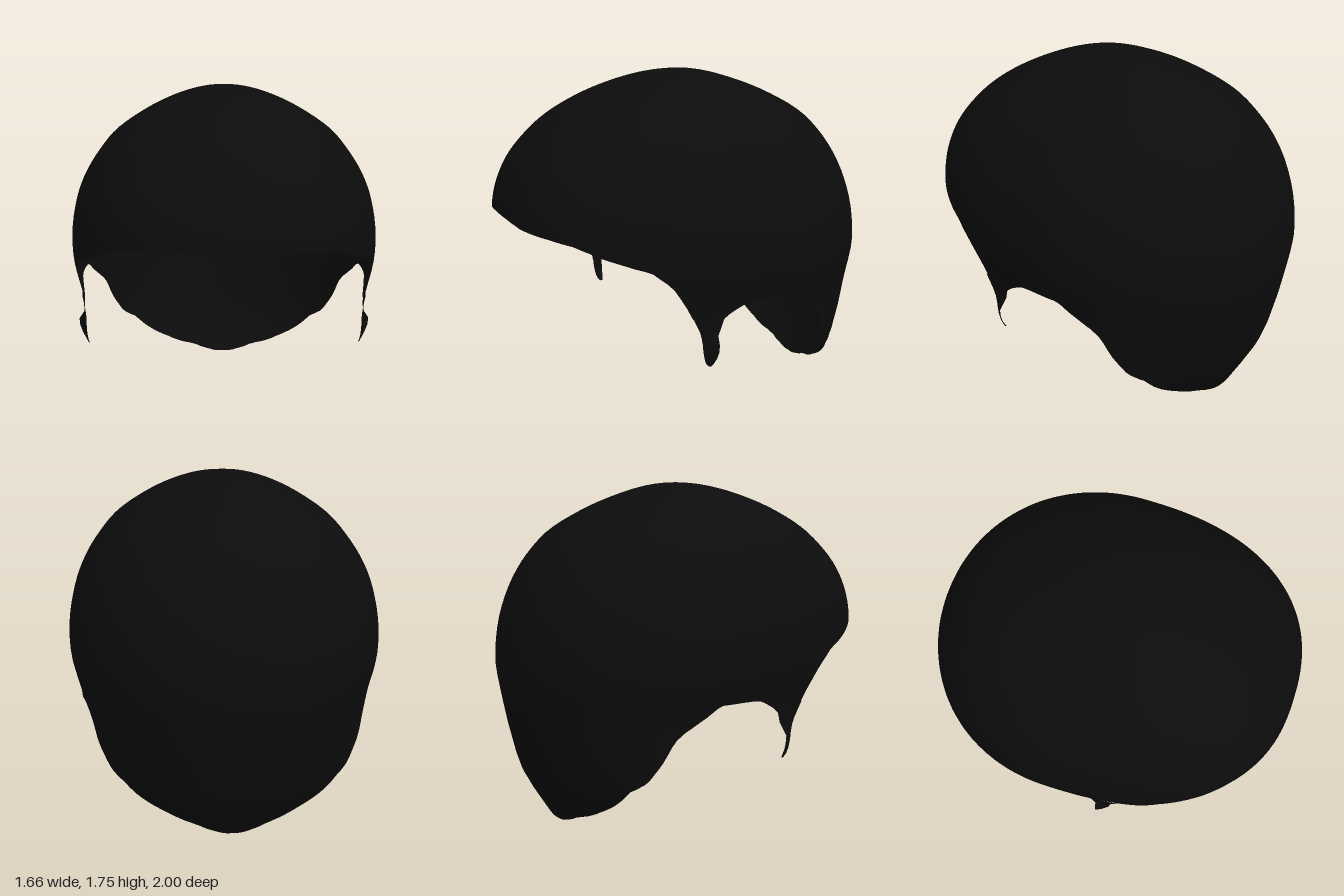
import * as THREE from 'three';

const TOP = 1.75;

// Smooth (Hermite) interpolation through points sorted by rising first value
function smooth(pts) {
  const slope = (i) => {
    const a = pts[Math.max(i - 1, 0)], b = pts[Math.min(i + 1, pts.length - 1)];
    return (b[1] - a[1]) / (b[0] - a[0]);
  };
  return (x) => {
    if (x <= pts[0][0]) return pts[0][1];
    let i = 0;
    while (i < pts.length - 1 && pts[i + 1][0] < x) i++;
    if (i === pts.length - 1) return pts[i][1];
    const h = pts[i + 1][0] - pts[i][0], t = (x - pts[i][0]) / h;
    const t2 = t * t, t3 = t2 * t;
    return (2 * t3 - 3 * t2 + 1) * pts[i][1] + (t3 - 2 * t2 + t) * h * slope(i)
      + (3 * t2 - 2 * t3) * pts[i + 1][1] + (t3 - t2) * h * slope(i + 1);
  };
}

// Linear interpolation, for the hairline
function linear(pts) {
  return (x) => {
    if (x <= pts[0][0]) return pts[0][1];
    for (let i = 1; i < pts.length; i++) {
      const [x0, y0] = pts[i - 1], [x1, y1] = pts[i];
      if (x <= x1) return y0 + (y1 - y0) * (x - x0) / (x1 - x0);
    }
    return pts[pts.length - 1][1];
  };
}

// Head profiles by height; the square root of depth keeps the crown round
const heights = [1.75, 1.7, 1.6, 1.5, 1.4, 1.3, 1.2, 1.1, 1, 0.9, 0.8, 0.6, 0.4, 0.2, 0];
const profile = (values) => smooth(values.map((v, i) => [Math.sqrt(TOP - heights[i]), v]));
const width = profile([0, 0.25, 0.45, 0.59, 0.675, 0.74, 0.785, 0.812, 0.828, 0.832, 0.822, 0.775, 0.77, 0.71, 0.45]);
const front = profile([0, 0.31, 0.56, 0.72, 0.83, 0.91, 0.96, 0.99, 1, 1, 1, 1, 1, 1, 1]);
const back = profile([0, 0.28, 0.53, 0.7, 0.8, 0.87, 0.92, 0.957, 0.982, 0.995, 1, 0.97, 0.92, 0.86, 0.755]);

// Height of the hairline along z, from nape to brow
const hairline = linear([
  [-1, 0], [-0.755, 0], [-0.745, 0.05], [-0.72, 0.08], [-0.69, 0.15], [-0.66, 0.26], [-0.6, 0.31],
  [-0.55, 0.41], [-0.5, 0.52], [-0.46, 0.56], [-0.35, 0.635], [-0.28, 0.69], [-0.1, 0.69],
  [-0.02, 0.68], [0.06, 0.635], [0.1, 0.6], [0.25, 0.6], [0.3, 0.69], [0.38, 0.81], [0.48, 0.89],
  [0.6, 0.93], [0.7, 0.965], [0.8, 1.01], [0.9, 1.03], [0.97, 1.04], [1, 1.06],
]);

// Point on the head at angle a and depth parameter u
function headPoint(a, u) {
  const c = Math.cos(a), s = Math.sin(a);
  const e = s > 0 ? 2 / 2.4 : 2 / 2.05;
  const zc = -0.15 * Math.min(1, u * u);
  const depth = s > 0 ? front(u) - zc : back(u) + zc;
  return [
    width(u) * Math.sign(c) * Math.abs(c) ** e,
    TOP - u * u,
    zc + depth * Math.sign(s) * Math.abs(s) ** e,
  ];
}

function surface(positions, index) {
  const g = new THREE.BufferGeometry();
  g.setAttribute('position', new THREE.Float32BufferAttribute(positions, 3));
  g.setIndex(index);
  g.computeVertexNormals();
  return g;
}

// Domed cap, each column running from the crown down to the hairline
function capGeometry(cols = 192, rows = 40) {
  const positions = [0, TOP, 0], index = [];
  const uMax = Math.sqrt(TOP);
  const id = (i, j) => (j === 0 ? 0 : 1 + (i % cols) * rows + j - 1);
  for (let i = 0; i < cols; i++) {
    const a = (i / cols) * Math.PI * 2 + Math.PI / 2;
    let end = 0.5;
    while (end < uMax) {
      const p = headPoint(a, end);
      if (p[1] <= hairline(p[2])) break;
      end += 0.001;
    }
    end = Math.min(end, uMax);
    for (let j = 1; j <= rows; j++) positions.push(...headPoint(a, (end * j) / rows));
    for (let j = 0; j < rows; j++) {
      if (j > 0) index.push(id(i, j), id(i + 1, j), id(i, j + 1));
      index.push(id(i + 1, j), id(i + 1, j + 1), id(i, j + 1));
    }
  }
  return surface(positions, index);
}

// Pointed lock in front of the ear: rows of height, front x and z, rear x and z
function sideburnGeometry(side) {
  const rows = [
    [0.64, 0.76, 0.27, 0.775, 0.07], [0.6, 0.755, 0.25, 0.77, 0.1], [0.55, 0.752, 0.225, 0.766, 0.115],
    [0.52, 0.75, 0.215, 0.77, 0.13], [0.48, 0.75, 0.207, 0.797, 0.135], [0.44, 0.75, 0.203, 0.793, 0.135],
    [0.4, 0.747, 0.195, 0.777, 0.14], [0.37, 0.743, 0.185, 0.757, 0.145], [0.35, 0.74, 0.168, 0.742, 0.152],
  ];
  const positions = [], index = [];
  rows.forEach(([y, xf, zf, xr, zr], j) => {
    // gently bowed outwards across the middle
    positions.push(side * xf, y, zf, side * ((xf + xr) / 2 + 0.005), y, (zf + zr) / 2, side * xr, y, zr);
    if (j === 0) return;
    for (let k = 0; k < 2; k++) {
      const a = (j - 1) * 3 + k, b = a + 1, c = a + 3, d = a + 4;
      if (side > 0) index.push(a, c, b, b, c, d);
      else index.push(a, b, c, b, d, c);
    }
  });
  return surface(positions, index);
}

export function createModel() {
  const model = new THREE.Group();
  model.name = 'hair';
  const hair = new THREE.MeshStandardMaterial({ color: 0x0c0c0c });
  hair.name = 'black hair';
  hair.side = THREE.DoubleSide;

  const add = (name, geometry) => {
    const mesh = new THREE.Mesh(geometry, hair);
    mesh.name = name;
    model.add(mesh);
  };
  add('hairCap', capGeometry());
  add('leftSideburn', sideburnGeometry(1));
  add('rightSideburn', sideburnGeometry(-1));
  return model;
}
